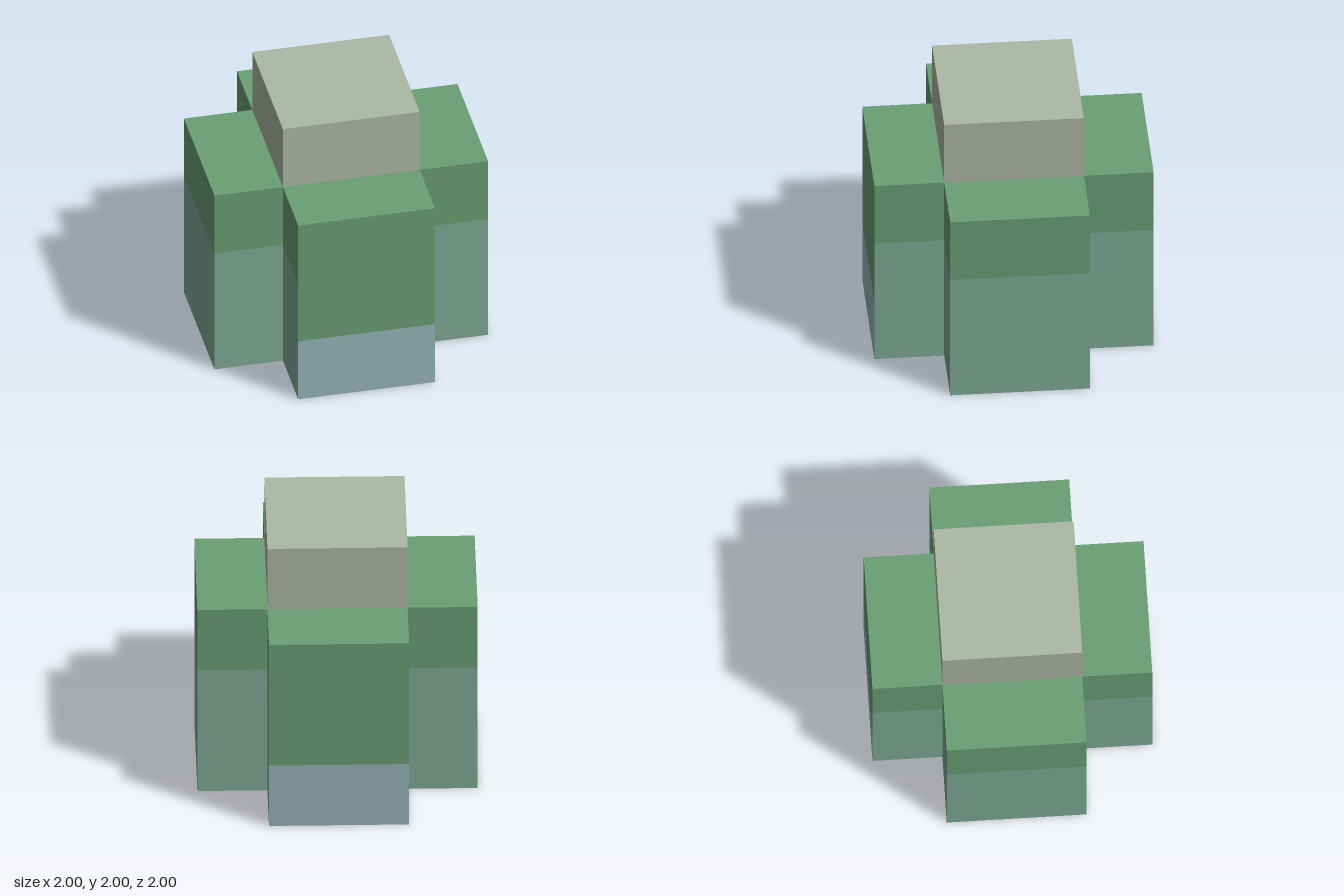
import * as THREE from 'three';

const mat = (name, color) => {
  const m = new THREE.MeshStandardMaterial({ color });
  m.name = name;
  return m;
};

export function createModel() {
  const cream = mat('cream', 0xaeb8a6);
  const green = mat('green', 0x6a9f74);
  const teal = mat('teal', 0x7faa97);
  const blue = mat('blue', 0x97b5b9);

  const model = new THREE.Group();
  model.name = 'steppedCross';

  const add = (parent, name, geometry, material) => {
    const mesh = new THREE.Mesh(geometry, material);
    mesh.name = name;
    parent.add(mesh);
    return mesh;
  };

  // Upright wall from y0 to y1, facing +z until turned
  const wall = (parent, name, width, y0, y1, x, z, turn, material) => {
    const m = add(parent, name, new THREE.PlaneGeometry(width, y1 - y0), material);
    m.position.set(x, (y0 + y1) / 2, z);
    m.rotation.y = turn;
  };

  // Four arms of the cross, each built facing +z and turned into place
  ['frontArm', 'leftArm', 'backArm', 'rightArm'].forEach((name, i) => {
    const arm = new THREE.Group();
    arm.name = name;
    arm.rotation.y = i * Math.PI / 2;
    model.add(arm);

    // End wall: the front and back arms have a lower colour split
    const split = i % 2 === 0 ? 0.5 : 1;
    wall(arm, 'endLower', 1, 0, split, 0, 1, 0, i % 2 === 0 ? blue : teal);
    wall(arm, 'endUpper', 1, split, 1.5, 0, 1, 0, green);

    // Side walls
    for (const s of [-1, 1]) {
      wall(arm, 'sideLower', 0.5, 0, 1, s * 0.5, 0.75, s * Math.PI / 2, teal);
      wall(arm, 'sideUpper', 0.5, 1, 1.5, s * 0.5, 0.75, s * Math.PI / 2, green);
    }

    // Roof
    const roof = add(arm, 'roof', new THREE.PlaneGeometry(1, 0.5), green);
    roof.rotation.x = -Math.PI / 2;
    roof.position.set(0, 1.5, 0.75);
  });

  // Cross-shaped underside
  const a = 0.5;
  const outline = [[a, 1], [-a, 1], [-a, a], [-1, a], [-1, -a], [-a, -a],
    [-a, -1], [a, -1], [a, -a], [1, -a], [1, a], [a, a]];
  const cross = new THREE.Shape(outline.map(([x, y]) => new THREE.Vector2(x, y)));
  const base = add(model, 'underside', new THREE.ShapeGeometry(cross), blue);
  base.rotation.x = Math.PI / 2;

  // Raised block on top
  const cap = add(model, 'topBlock', new THREE.BoxGeometry(1, 0.5, 1), cream);
  cap.position.y = 1.75;

  return model;
}
